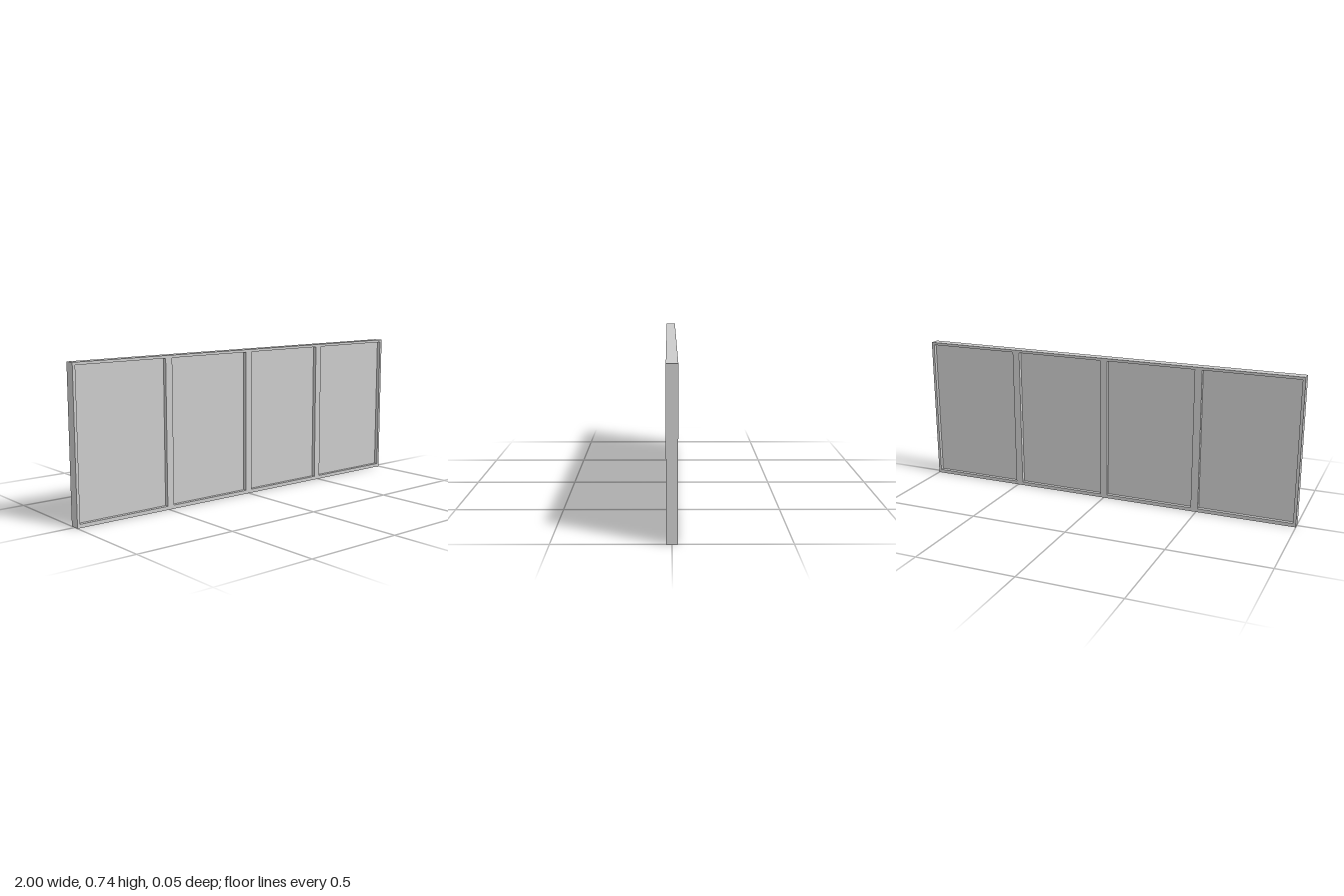
import * as THREE from 'three';

const WIDTH = 2, HEIGHT = 0.742, DEPTH = 0.05;
const SIDE = 0.014, TOP = 0.013, BOTTOM = 0.018, MULLION = 0.037;
const MULLION_X = [-0.491, 0, 0.491];
const PANE_DEPTH = 0.012;

function rectangle(PathType, x0, y0, x1, y1) {
  return new PathType([[x0, y0], [x1, y0], [x1, y1], [x0, y1]].map(([x, y]) => new THREE.Vector2(x, y)));
}

export function createModel() {
  const group = new THREE.Group();
  group.name = 'windowPanel';
  const material = new THREE.MeshStandardMaterial({ color: 0xcccccc });

  // Left and right edge of each of the four openings
  const edges = [-WIDTH / 2 + SIDE];
  for (const x of MULLION_X) edges.push(x - MULLION / 2, x + MULLION / 2);
  edges.push(WIDTH / 2 - SIDE);

  // Outer frame and mullions in one piece, with a recessed pane in each opening
  const outline = rectangle(THREE.Shape, -WIDTH / 2, 0, WIDTH / 2, HEIGHT);
  const paneHeight = HEIGHT - TOP - BOTTOM;
  for (let i = 0; i < edges.length; i += 2) {
    const [x0, x1] = [edges[i], edges[i + 1]];
    outline.holes.push(rectangle(THREE.Path, x0, BOTTOM, x1, HEIGHT - TOP));

    const pane = new THREE.Mesh(new THREE.BoxGeometry(x1 - x0, paneHeight, PANE_DEPTH), material);
    pane.position.set((x0 + x1) / 2, BOTTOM + paneHeight / 2, 0);
    pane.name = `pane${i / 2 + 1}`;
    group.add(pane);
  }

  const frameGeometry = new THREE.ExtrudeGeometry(outline, { depth: DEPTH, bevelEnabled: false });
  frameGeometry.translate(0, 0, -DEPTH / 2);
  const frame = new THREE.Mesh(frameGeometry, material);
  frame.name = 'frame';
  group.add(frame);

  return group;
}
